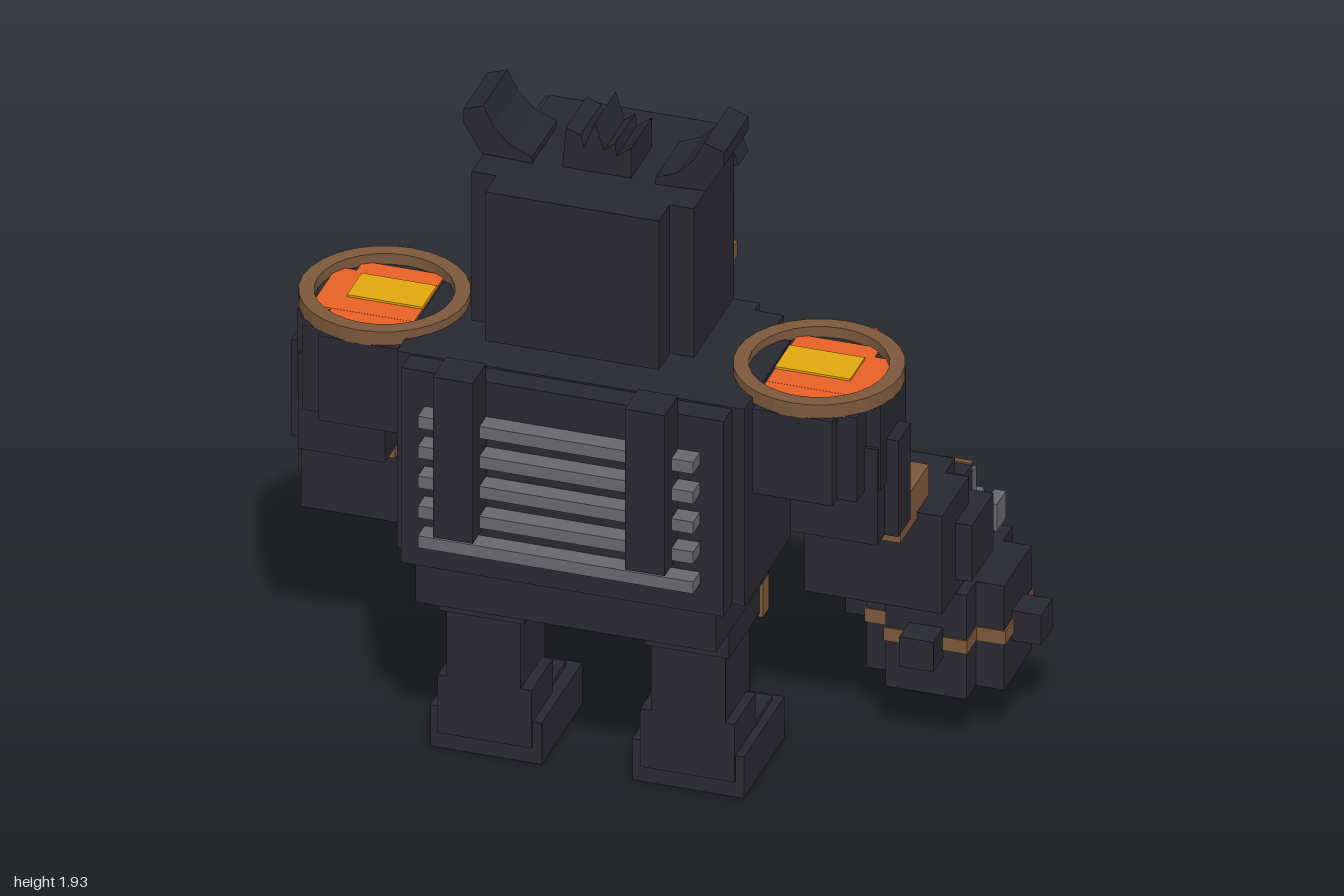
import * as THREE from 'three';

const mat = (name, color) => Object.assign(new THREE.MeshStandardMaterial({ color }), { name });

export function createModel() {
  const dark = mat('charcoal metal', 0x282830);
  const grey = mat('steel grey', 0x67676c);
  const brown = mat('bronze', 0x7b583c);
  const orange = mat('ember orange', 0xe86226);
  const yellow = mat('glowing yellow', 0xe0a60e);

  const model = new THREE.Group();
  model.name = 'furnaceRobot';

  // the body axis sits a little to one side, to make room for the lantern
  const robot = new THREE.Group();
  robot.name = 'robot';
  robot.position.x = -0.07;
  model.add(robot);

  const add = (parent, name, geometry, material) => {
    const mesh = new THREE.Mesh(geometry, material);
    mesh.name = name;
    parent.add(mesh);
    return mesh;
  };
  // box given by its limits on x, y and z
  const box = (parent, name, m, x0, x1, y0, y1, z0, z1) => {
    const mesh = add(parent, name, new THREE.BoxGeometry(Math.abs(x1 - x0), Math.abs(y1 - y0), Math.abs(z1 - z0)), m);
    mesh.position.set((x0 + x1) / 2, (y0 + y1) / 2, (z0 + z1) / 2);
    return mesh;
  };
  // the same box on both sides of the body
  const pair = (parent, name, m, x0, x1, ...rest) =>
    [1, -1].forEach(s => box(parent, name, m, s * x0, s * x1, ...rest));
  // flat outline pushed along z
  const extrude = (parent, name, m, points, z0, depth) => {
    const shape = new THREE.Shape(points.map(p => new THREE.Vector2(...p)));
    const mesh = add(parent, name, new THREE.ExtrudeGeometry(shape, { depth, bevelEnabled: false }), m);
    mesh.position.z = z0;
  };
  const group = (name, parent = robot) => {
    const g = new THREE.Group();
    g.name = name;
    parent.add(g);
    return g;
  };

  // torso
  const torso = group('torso');
  box(torso, 'torsoCore', dark, -0.48, 0.48, 0.665, 1.26, 0.03, 0.41);
  box(torso, 'torsoBack', dark, -0.445, 0.445, 0.665, 1.255, 0.4, 0.48);
  box(torso, 'waist', dark, -0.415, 0.415, 0.535, 0.665, 0.02, 0.45);
  box(torso, 'belly', dark, -0.34, 0.34, 0.535, 0.79, -0.13, 0.04);
  box(torso, 'chestTop', dark, -0.34, 0.34, 1.2, 1.26, -0.13, 0.04);
  pair(torso, 'chestSide', dark, 0.28, 0.42, 0.665, 1.26, -0.09, 0.04);
  box(torso, 'neck', dark, -0.24, 0.24, 1.26, 1.34, -0.06, 0.16);

  // furnace behind the chest bars
  box(torso, 'furnaceGlow', orange, -0.28, 0.28, 0.79, 1.2, -0.01, 0.03);
  for (const x of [-0.15, 0, 0.15]) box(torso, 'flame', yellow, x - 0.03, x + 0.03, 0.79, 1.13, -0.018, -0.01);
  for (let i = 0; i < 6; i++) {
    const x = -0.25 + i * 0.1;
    box(torso, 'chestBar', dark, x - 0.026, x + 0.026, 0.79, 1.2, -0.12, -0.07);
    box(torso, 'rivet', brown, x - 0.012, x + 0.012, 1.26, 1.275, -0.12, -0.1);
  }
  box(torso, 'upperRail', grey, -0.31, 0.31, 1.2, 1.235, -0.145, -0.13);
  box(torso, 'lowerRail', grey, -0.31, 0.31, 0.765, 0.8, -0.145, -0.11);

  // back vents and rails
  for (let i = 0; i < 5; i++) {
    const y = 0.77 + i * 0.0905;
    box(torso, 'backVent', grey, -0.38, 0.38, y - 0.018, y + 0.018, 0.48, 0.535);
  }
  pair(torso, 'backRail', dark, 0.21, 0.32, 0.825, 1.31, 0.48, 0.59);

  // head
  const head = group('head');
  box(head, 'skull', dark, -0.307, 0.307, 1.33, 1.78, -0.02, 0.31);
  box(head, 'skullBack', dark, -0.24, 0.24, 1.33, 1.78, 0.3, 0.4);
  box(head, 'face', dark, -0.24, 0.24, 1.33, 1.78, -0.135, 0);
  pair(head, 'cheek', dark, 0.2, 0.28, 1.29, 1.47, -0.1, 0);
  box(head, 'jaw', dark, -0.23, 0.23, 1.28, 1.37, -0.155, 0);
  pair(head, 'cheekKnob', brown, 0.225, 0.27, 1.375, 1.42, -0.16, -0.1);
  box(head, 'mouthGlow', orange, -0.16, 0.16, 1.38, 1.48, -0.185, -0.13);
  box(head, 'mouthFlame', yellow, -0.155, 0.155, 1.405, 1.445, -0.193, -0.185);
  for (let i = 0; i < 5; i++) {
    const x = -0.14 + i * 0.07;
    box(head, 'upperTooth', grey, x - 0.018, x + 0.018, 1.435, 1.5, -0.21, -0.15);
    box(head, 'lowerTooth', grey, x - 0.018, x + 0.018, 1.36, 1.41, -0.21, -0.15);
  }
  for (const s of [1, -1]) {
    const brow = box(head, 'brow', dark, s * 0.01, s * 0.29, 1.63, 1.7, -0.18, -0.1);
    brow.rotation.z = s * 0.38;
    const eye = box(head, 'eye', yellow, s * 0.09, s * 0.23, 1.585, 1.632, -0.178, -0.13);
    eye.rotation.z = s * 0.38;
    // horn bent up and out
    const horn = [[0.17, 1.78], [0.31, 1.785], [0.36, 1.87], [0.36, 1.91], [0.305, 1.93], [0.275, 1.87], [0.23, 1.825], [0.17, 1.8]];
    extrude(head, 'horn', dark, horn.map(([x, y]) => [s * x, y]), 0.02, 0.2);
  }
  extrude(head, 'crest', dark, [[-0.09, 1.78], [0.1, 1.78], [0.1, 1.87], [0.06, 1.84], [0.055, 1.875],
    [0.025, 1.85], [0, 1.93], [-0.03, 1.85], [-0.04, 1.885], [-0.08, 1.9]], 0.04, 0.17);

  // arms
  const ringShape = new THREE.Shape().absarc(0, 0, 0.226, 0, Math.PI * 2);
  ringShape.holes.push(new THREE.Path().absarc(0, 0, 0.185, 0, Math.PI * 2));
  const ringGeo = new THREE.ExtrudeGeometry(ringShape, { depth: 0.042, bevelEnabled: false, curveSegments: 14 });
  ringGeo.rotateX(-Math.PI / 2);
  for (const s of [1, -1]) {
    const arm = group(s > 0 ? 'leftArm' : 'rightArm');
    const part = (name, m, x0, x1, ...rest) => box(arm, name, m, s * x0, s * x1, ...rest);
    // shoulder furnace, stepped to look round
    part('shoulder', dark, 0.4, 0.805, 0.99, 1.245, 0.05, 0.26);
    part('shoulderStep', dark, 0.43, 0.765, 0.99, 1.245, -0.03, 0.335);
    part('shoulderDeep', dark, 0.49, 0.71, 0.99, 1.245, -0.085, 0.375);
    add(arm, 'shoulderRing', ringGeo, brown).position.set(s * 0.6, 1.243, 0.153);
    const floor = add(arm, 'shoulderFloor', new THREE.CylinderGeometry(0.2, 0.2, 0.03, 24), dark);
    floor.position.set(s * 0.6, 1.238, 0.153);
    part('shoulderEmber', orange, 0.487, 0.77, 1.25, 1.259, 0.04, 0.25);
    part('shoulderEmberCross', orange, 0.487, 0.715, 1.25, 1.2585, -0.01, 0.31);
    part('shoulderFlame', yellow, 0.487, 0.695, 1.259, 1.265, 0.06, 0.18);
    part('shoulderStripe', orange, 0.63, 0.675, 1.07, 1.255, -0.11, -0.08);
    // upper arm, cuff and forearm
    part('upperArm', dark, 0.56, 0.8, 0.83, 1.12, 0.05, 0.27);
    part('armPlate', dark, 0.8, 0.838, 0.83, 1.12, 0.11, 0.21);
    part('cuff', brown, 0.58, 0.815, 0.76, 0.87, -0.11, 0.125);
    part('forearm', dark, 0.505, 0.885, 0.485, 0.78, -0.23, -0.01);
    part('wrist', dark, 0.55, 0.82, 0.485, 0.78, -0.31, -0.2);
    part('forearmKnob', dark, 0.8, 0.93, 0.53, 0.7, -0.3, -0.12);
    part('forearmVent', yellow, 0.62, 0.78, 0.78, 0.788, -0.175, -0.145);
    // fist
    part('fist', dark, 0.55, 0.85, 0.5, 0.74, -0.365, -0.3);
    part('knuckleBand', brown, 0.55, 0.85, 0.728, 0.745, -0.37, -0.355);
    part('knuckleGlow', orange, 0.56, 0.84, 0.62, 0.718, -0.37, -0.365);
    for (let i = 0; i < 4; i++) {
      const x = 0.583 + i * 0.078;
      part('finger', grey, x - 0.032, x + 0.032, 0.62, 0.712, -0.4, -0.36);
      part('fingerTip', dark, x - 0.03, x + 0.03, 0.54, 0.62, -0.385, -0.36);
    }
  }

  // legs
  for (const s of [1, -1]) {
    const leg = group(s > 0 ? 'leftLeg' : 'rightLeg');
    const part = (name, m, x0, x1, ...rest) => box(leg, name, m, s * x0, s * x1, ...rest);
    part('thigh', dark, 0.165, 0.4, 0.43, 0.56, 0.05, 0.3);
    part('kneeGuard', brown, 0.155, 0.41, 0.42, 0.53, 0.0, 0.05);
    part('kneePlate', dark, 0.16, 0.405, 0.475, 0.535, -0.008, 0.0);
    part('shin', dark, 0.18, 0.385, 0.1, 0.45, 0.085, 0.285);
    part('ankle', dark, 0.15, 0.41, 0.05, 0.225, 0.11, 0.285);
    part('foot', dark, 0.125, 0.433, 0, 0.125, -0.06, 0.275);
    part('footTop', dark, 0.16, 0.41, 0.125, 0.14, -0.03, 0.12);
    part('toeStrip', brown, 0.16, 0.4, 0.06, 0.08, -0.068, -0.06);
    for (const x of [0.21, 0.283, 0.356]) part('piston', grey, x - 0.018, x + 0.018, 0.14, 0.44, 0.05, 0.09);
  }

  // lantern carried by the left hand
  const lantern = group('lantern', model);
  lantern.position.set(0.73, 0, -0.32);
  box(lantern, 'lanternBody', dark, -0.112, 0.112, 0.165, 0.48, -0.19, 0.19);
  box(lantern, 'lanternWide', dark, -0.19, 0.19, 0.165, 0.48, -0.112, 0.112);
  box(lantern, 'lanternBand', brown, -0.115, 0.115, 0.305, 0.345, -0.195, 0.195);
  box(lantern, 'lanternBandWide', brown, -0.195, 0.195, 0.305, 0.345, -0.115, 0.115);
  box(lantern, 'lanternKnobs', dark, -0.27, 0.27, 0.28, 0.37, -0.047, 0.047);
  box(lantern, 'lanternKnobsLong', dark, -0.047, 0.047, 0.28, 0.37, -0.265, 0.27);
  box(lantern, 'lanternWindow', orange, -0.035, 0.035, 0.2, 0.44, -0.208, -0.19);
  box(lantern, 'lanternFlame', yellow, -0.015, 0.015, 0.22, 0.26, -0.213, -0.208);
  // stepped claws hooked over the lantern
  for (let i = 0; i < 4; i++) {
    const x = -0.13 + i * 0.06;
    for (let k = 0; k < 3; k++) {
      const z = 0.02 - k * 0.073;
      box(lantern, 'claw', grey, x - 0.016 + k * 0.012, x + 0.016 + k * 0.012, 0.48 + k * 0.008, 0.59 - k * 0.006, z - 0.075, z);
    }
  }
  return model;
}
